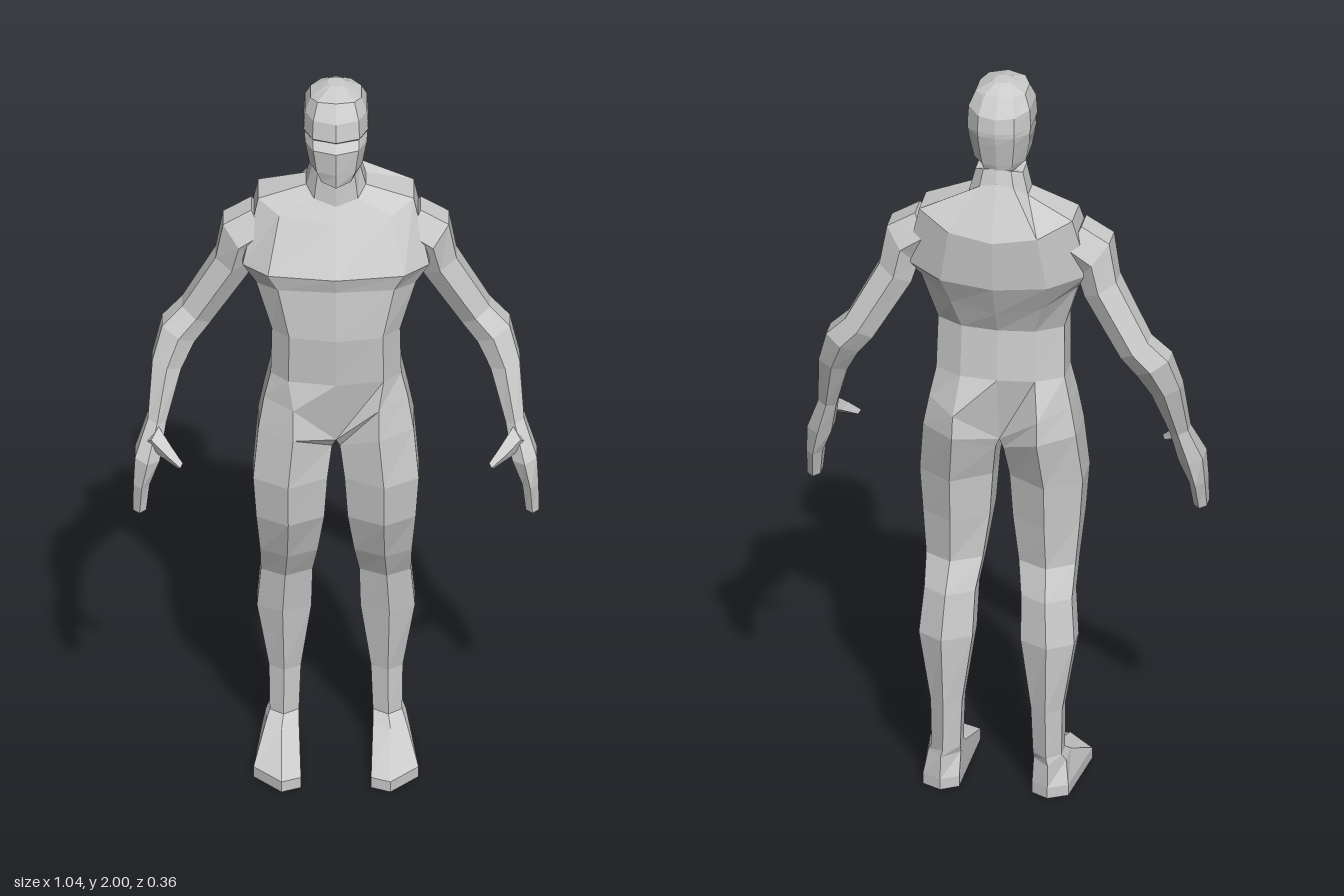
import * as THREE from 'three';

const material = new THREE.MeshStandardMaterial({ color: 0xcccccc, flatShading: true });
const mix = THREE.MathUtils.lerp;

// Skins rings of [x, y, z] (listed top to bottom, front -> +x -> back) and caps both ends
function loft(name, rings) {
  const pos = [];
  const tri = (a, b, c) => pos.push(...a, ...b, ...c);
  const middle = (r) => [0, 1, 2].map((k) => r.reduce((s, p) => s + p[k], 0) / r.length);
  const n = rings[0].length;
  const first = rings[0], last = rings[rings.length - 1];
  const top = middle(first), bottom = middle(last);
  for (let j = 0; j < n; j++) {
    const k = (j + 1) % n;
    tri(top, first[j], first[k]);
    for (let i = 0; i < rings.length - 1; i++) {
      const r = rings[i], s = rings[i + 1];
      tri(r[j], s[j], r[k]);
      tri(r[k], s[j], s[k]);
    }
    tri(bottom, last[k], last[j]);
  }
  const g = new THREE.BufferGeometry();
  g.setAttribute('position', new THREE.Float32BufferAttribute(pos, 3));
  g.computeVertexNormals();
  const mesh = new THREE.Mesh(g, material);
  mesh.name = name;
  return mesh;
}

// Completes a half ring (front centre to back centre) across x = 0
const whole = (half) => [...half, ...half.slice(1, -1).reverse().map(([x, y, z]) => [-x, y, z])];
// Reflects a ring to the other side, keeping its turning direction
const reflect = (ring) => ring.map(([x, y, z]) => [-x, y, z]).reverse();

// Body ring: heights at front, side and back, half width, front z, back z
const bodyRing = ([yf, ys, yb, w, f, b]) => whole([
  [0, yf, f],
  [w * 0.73, mix(yf, ys, 0.4), mix(f, b, 0.1)],
  [w, ys, mix(f, b, 0.33)],
  [w, ys, mix(f, b, 0.75)],
  [w * 0.58, mix(yb, ys, 0.3), mix(f, b, 0.95)],
  [0, yb, b],
]);

// Leg ring: height, inner x, outer x, front z, back z, optional lower height of the inner edge
const legRing = ([y, xi, xo, f, b, yi = y]) => {
  const zf = mix(f, b, 0.25), zb = mix(f, b, 0.7), xm = mix(xi, xo, 0.53);
  return [[xi, yi, zf], [xm, y, f], [xo, y, zf], [xo, y, zb], [xm, y, b], [xi, yi, zb]];
};

// Tilted oval ring: centre, half width, half depth, tilt of the outward axis
const oval = (n) => ([x, y, z, w, d, t]) =>
  Array.from({ length: n }, (_, i) => {
    const a = (i / n) * Math.PI * 2, u = w * Math.sin(a);
    return [x + u * Math.cos(t), y + u * Math.sin(t), z + d * Math.cos(a)];
  });

// Hip line shared by torso and legs
const hip = [[0, 0.985, 0.065], [0.11, 1.09, 0.1], [0.185, 1.1, 0.04],
  [0.185, 1.09, -0.06], [0.11, 1.07, -0.135], [0, 0.985, -0.07]];

const torso = [
  [1.78, 1.76, 1.78, 0.062, 0.03, -0.105],    // neck
  [1.66, 1.70, 1.74, 0.077, 0.03, -0.115],
  [1.62, 1.655, 1.6, 0.2, 0.055, -0.178],     // shoulders
  [1.497, 1.49, 1.46, 0.24, 0.13, -0.165],    // chest
  [1.455, 1.44, 1.37, 0.205, 0.118, -0.125],
  [1.31, 1.31, 1.31, 0.165, 0.122, -0.095],   // waist
  [1.17, 1.17, 1.17, 0.168, 0.105, -0.105],
].map(bodyRing);

const head = [
  [2, 2, 2, 0.02, 0, -0.05],                  // crown
  [1.985, 1.975, 1.98, 0.065, 0.06, -0.09],
  [1.94, 1.94, 1.93, 0.08, 0.092, -0.125],
  [1.89, 1.89, 1.89, 0.083, 0.1, -0.13],      // brow
  [1.877, 1.877, 1.877, 0.081, 0.08, -0.129], // eye recess
  [1.855, 1.855, 1.855, 0.08, 0.1, -0.125],
  [1.79, 1.79, 1.79, 0.068, 0.095, -0.11],
  [1.75, 1.772, 1.755, 0.052, 0.09, -0.1],    // chin
].map(bodyRing);

// Footprint, used for both edges of the sole
const sole = [[0.09, 0.155], [0.14, 0.178], [0.212, 0.1], [0.19, -0.12], [0.14, -0.148], [0.095, -0.12]];

const leg = [
  hip,
  ...[
    [1.01, 0.01, 0.2, 0.115, -0.145, 0.96],
    [0.87, 0.022, 0.213, 0.12, -0.11],
    [0.75, 0.03, 0.205, 0.105, -0.1],
    [0.63, 0.047, 0.195, 0.055, -0.09],       // knee
    [0.55, 0.06, 0.193, 0.015, -0.13],
    [0.43, 0.063, 0.203, -0.005, -0.152],     // calf
    [0.24, 0.09, 0.172, -0.033, -0.143],
    [0.11, 0.095, 0.17, -0.03, -0.14],        // ankle
    [0.09, 0.095, 0.18, 0.01, -0.143],
  ].map(legRing),
  ...[0.03, 0].map((y) => sole.map(([x, z]) => [x, y, z])),
];

const arm = [
  [0.19, 1.57, -0.05, 0.07, 0.07, 1.1],       // inside the shoulder
  [0.25, 1.53, -0.05, 0.075, 0.072, 0.9],
  [0.268, 1.45, -0.06, 0.055, 0.062, 0.5],
  [0.36, 1.29, -0.08, 0.05, 0.055, 0.6],      // elbow
  [0.405, 1.24, -0.07, 0.055, 0.06, 0.5],
  [0.435, 1.16, -0.045, 0.045, 0.05, 0.3],
  [0.46, 1.02, 0.005, 0.028, 0.04, 0.2],      // wrist
  [0.485, 0.93, 0.04, 0.037, 0.06, 0.15],
  [0.5, 0.86, 0.05, 0.024, 0.055, 0.05],
  [0.505, 0.785, 0.06, 0.02, 0.038, 0],       // fingertips
].map(oval(6));

const thumb = [
  [0.475, 0.99, 0.045, 0.03, 0.03, -0.88],
  [0.435, 0.96, 0.085, 0.02, 0.02, -0.88],
  [0.4, 0.935, 0.112, 0.01, 0.012, -0.88],
].map(oval(4));

export function createModel() {
  const model = new THREE.Group();
  model.name = 'figure';
  model.add(loft('torso', [...torso, whole(hip)]), loft('head', head));
  // Limbs on both sides
  for (const [part, rings] of Object.entries({ Leg: leg, Arm: arm, Thumb: thumb })) {
    model.add(loft('left' + part, rings), loft('right' + part, rings.map(reflect)));
  }
  return model;
}
